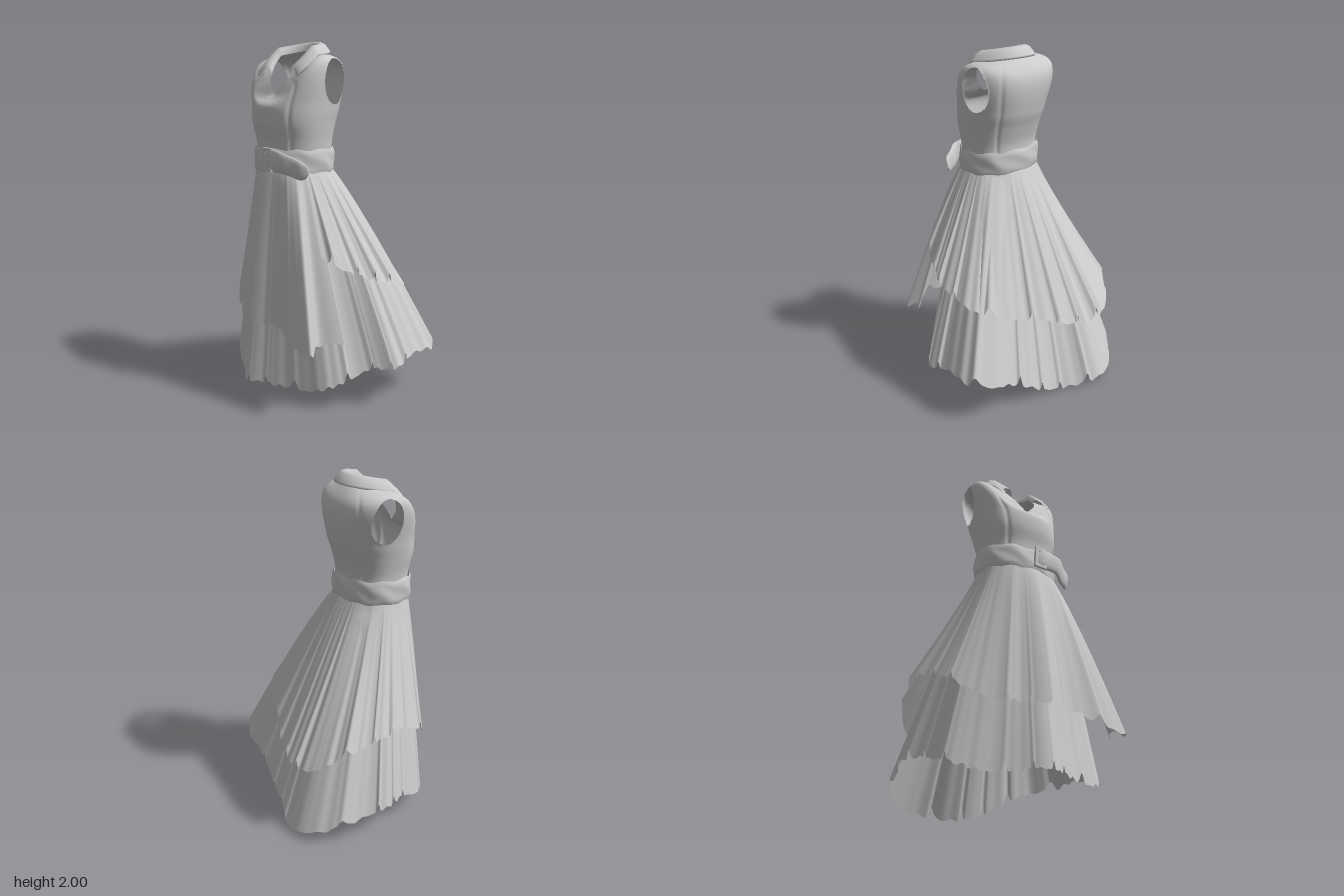
import * as THREE from 'three';

const { sin, cos, abs, max, min, pow, sign, PI } = Math;
const RAD = PI / 180;
const material = new THREE.MeshStandardMaterial({ color: 0xcccccc, side: THREE.DoubleSide });

// Grid surface from point(u, v); keep() may drop triangles to leave openings.
function surface(name, cols, rows, closed, point, keep = () => true) {
  const pos = [], index = [], pts = [];
  const n = closed ? cols : cols + 1;
  for (let j = 0; j <= rows; j++) for (let i = 0; i < n; i++) {
    const p = point(i / cols, j / rows);
    pts.push(p);
    pos.push(p.x, p.y, p.z);
  }
  const tri = (a, b, c) => { if (keep(pts[a], pts[b], pts[c])) index.push(a, b, c); };
  for (let j = 0; j < rows; j++) for (let i = 0; i < cols; i++) {
    const k = (i + 1) % n, a = j * n + i, b = j * n + k, c = a + n, d = b + n;
    tri(a, b, d);
    tri(a, d, c);
  }
  const geo = new THREE.BufferGeometry();
  geo.setAttribute('position', new THREE.Float32BufferAttribute(pos, 3));
  geo.setIndex(index);
  geo.computeVertexNormals();
  const mesh = new THREE.Mesh(geo, material);
  mesh.name = name;
  return mesh;
}

// Rounded ring between x and z limits; angle 0 is front, 90 degrees is +x.
const soft = (s, p) => sign(s) * pow(abs(s), p);
function ring(a, y, x0, x1, z0, z1, p = 0.88) {
  return new THREE.Vector3(
    (x0 + x1) / 2 + (x1 - x0) / 2 * soft(sin(a), p), y,
    (z0 + z1) / 2 + (z1 - z0) / 2 * soft(cos(a), p));
}
const waist = a => ring(a, 1.31, -0.295, 0.14, -0.025, 0.355);

// Hem rows: [angle in degrees, x, y, z]
const OVER_HEM = [
  [62, 0.32, 0.83, 0.32], [72, 0.41, 0.78, 0.25], [85, 0.45, 0.72, 0.13], [97, 0.47, 0.68, 0.03],
  [110, 0.46, 0.66, -0.1], [125, 0.42, 0.6, -0.24], [145, 0.28, 0.55, -0.32],
  [165, 0.1, 0.5, -0.37], [180, -0.08, 0.44, -0.45], [195, -0.23, 0.41, -0.48],
  [210, -0.37, 0.44, -0.45], [225, -0.49, 0.51, -0.38], [240, -0.54, 0.57, -0.25],
  [260, -0.56, 0.63, -0.1], [280, -0.55, 0.62, 0.1], [295, -0.52, 0.56, 0.22],
  [310, -0.43, 0.48, 0.31], [325, -0.32, 0.44, 0.37], [345, -0.2, 0.43, 0.45],
  [360, -0.08, 0.43, 0.49], [380, 0.1, 0.43, 0.46], [398, 0.31, 0.37, 0.5],
  [408, 0.42, 0.35, 0.48], [417, 0.38, 0.38, 0.4], [425, 0.48, 0.39, 0.3]];
const UNDER_HEM = [
  [0, -0.09, 0.09, 0.5], [25, 0.11, 0.08, 0.43], [45, 0.3, 0.09, 0.35], [65, 0.42, 0.14, 0.25],
  [80, 0.5, 0.2, 0.12], [100, 0.6, 0.22, 0], [115, 0.57, 0.26, -0.15], [130, 0.57, 0.24, -0.34],
  [145, 0.45, 0.22, -0.41], [160, 0.28, 0.15, -0.4], [175, 0.1, 0.05, -0.42],
  [190, -0.07, 0.0, -0.46], [205, -0.24, 0.02, -0.52], [217, -0.4, 0.05, -0.5],
  [230, -0.53, 0.09, -0.39], [245, -0.57, 0.14, -0.22], [260, -0.6, 0.18, -0.08],
  [280, -0.57, 0.17, 0.08], [295, -0.54, 0.13, 0.22], [310, -0.44, 0.09, 0.3],
  [330, -0.3, 0.07, 0.37], [345, -0.2, 0.08, 0.46]];

// Skirt tier: waist ring lofted to a torn hem, with broad folds that grow downward.
function tier(name, hem, closed, { fold, flare, inset }) {
  const curve = new THREE.CatmullRomCurve3(hem.map(h => new THREE.Vector3(h[1], h[2], h[3])), closed);
  const n = hem.length, spans = closed ? n : n - 1;
  const angleAt = u => {
    const f = u * spans, i = min(Math.floor(f), spans - 1);
    const a0 = hem[i][0], a1 = i + 1 < n ? hem[i + 1][0] : hem[0][0] + 360;
    return (a0 + (a1 - a0) * (f - i)) * RAD;
  };
  return surface(name, 400, 22, closed, (u, v) => {
    const t = 1 - v, a = angleAt(u), end = curve.getPoint(u), top = waist(a);
    top.x = -0.078 + (top.x + 0.078) * inset;
    top.z = 0.165 + (top.z - 0.165) * inset;
    const tear = 0.01 * (1 + sin(47 * a + 1)) * abs(sin(5 * a)) +
      0.055 * pow(max(0, sin(19 * a + 3 * sin(4 * a) + 1)), 14);
    const f = pow(t, flare(a));
    const wave = 0.6 * sin(7 * a + 1 + sin(2 * a)) + 0.4 * sin(12 * a + 2 + sin(3 * a)) + 0.1 * sin(23 * a);
    const r = fold * wave * pow(t, 0.6);
    return new THREE.Vector3(
      top.x + (end.x - top.x) * f + r * sin(a),
      top.y + (end.y + tear - top.y) * t,
      top.z + (end.z - top.z) * f + r * cos(a));
  });
}

// Neck opening: slopes down from the back and ends in a V at the front.
function neck(a) {
  const w = abs(Math.atan2(sin(a), cos(a)));
  return new THREE.Vector3(-0.075 + 0.125 * sin(a),
    1.93 - 0.035 * cos(a) - 0.195 * max(0, 1 - w / (PI / 2)), 0.155 + 0.145 * cos(a));
}

// Bodice: rings from waist to shoulder to neck, with an oval armhole on each side.
const BODICE = [
  [1.29, -0.295, 0.14, -0.025, 0.355], [1.37, -0.295, 0.148, -0.025, 0.35], [1.45, -0.3, 0.155, -0.025, 0.355],
  [1.55, -0.318, 0.168, -0.05, 0.378], [1.64, -0.335, 0.178, -0.078, 0.374]];
function bodice() {
  const columns = new Map();
  const column = u => {
    if (!columns.has(u)) {
      const a = u * 2 * PI, c = cos(a);
      const shoulderY = 1.89 - 0.21 * max(0, c) ** 2 - 0.05 * max(0, -c) ** 2;
      columns.set(u, new THREE.CatmullRomCurve3([
        ...BODICE.map(r => ring(a, ...r)),
        ring(a, shoulderY, -0.357, 0.172, -0.09, 0.33, 0.78), neck(a)]));
    }
    return columns.get(u);
  };
  const point = (u, v) => {
    const p = column(u).getPoint(v), a = u * 2 * PI;
    // shallow princess seams
    for (const s of [0.65, -0.65, 2.5, -2.5]) {
      const d = Math.atan2(sin(a - s), cos(a - s));
      const g = 0.006 * Math.exp(-d * d * 300) * min(1, 4 * (1 - v));
      p.x -= g * sin(a);
      p.z -= g * cos(a);
    }
    // vertices inside the armhole move out to its rim
    const dz = (p.z - 0.076) / 0.09, dy = (p.y - 1.775) / 0.125, d = Math.hypot(dz, dy);
    if (d < 1 && abs(p.x + 0.088) > 0.14) {
      p.cut = true;
      p.z = 0.076 + 0.09 * dz / max(d, 0.01);
      p.y = 1.775 + 0.125 * dy / max(d, 0.01);
    }
    return p;
  };
  return surface('bodice', 180, 90, true, point, (a, b, c) => !(a.cut && b.cut && c.cut));
}

// Collar: stands at the neck, folds over, and widens to a point at the front.
function collar() {
  const section = [[-0.08, -0.01], [-0.04, 0.025], [0.2, 0.036], [0.55, 0.026], [1.0, -0.012], [0.98, -0.024], [0.5, 0.0]];
  const start = 42 * RAD, end = 318 * RAD;
  return surface('collar', 90, section.length - 1, false, (u, v) => {
    const a = start + (end - start) * u, p = neck(a);
    const [out, up] = section[Math.round(v * (section.length - 1))];
    const front = pow(abs(u - 0.5) * 2, 4);
    const w = (0.065 + 0.06 * front) * out;
    p.x += w * sin(a);
    p.z += w * cos(a) * (1 - 0.8 * front);
    p.y += up + 0.015 * front;
    return p;
  });
}

// Belt: a soft, slightly rumpled band.
function belt() {
  return surface('belt', 120, 10, true, (u, v) => {
    const a = u * 2 * PI;
    const p = ring(a, 0, -0.298, 0.15, -0.027, 0.358);
    const r = 0.004 + 0.01 * pow(sin(v * PI), 0.4) + 0.004 * sin(7 * a + 6 * v) * sin(v * PI);
    p.x += r * sin(a);
    p.z += r * cos(a);
    p.y = 1.275 + 0.14 * v - 0.012 * sin(a + 0.5) + 0.005 * sin(9 * a);
    return p;
  });
}

// Loose belt end, drooping toward +x.
function beltEnd() {
  const path = new THREE.CatmullRomCurve3([[-0.08, 1.36, 0.375], [0, 1.35, 0.39], [0.08, 1.335, 0.38],
    [0.15, 1.305, 0.345], [0.205, 1.28, 0.305]].map(p => new THREE.Vector3(...p)));
  return surface('beltEnd', 28, 16, false, (u, v) => {
    const p = path.getPoint(u), a = -v * 2 * PI;
    const close = pow(max(0, 1 - pow(abs(2 * u - 1), 8)), 0.5);
    p.y += 0.062 * (1 - 0.25 * u) * soft(sin(a), 0.8) * close;
    p.z += 0.016 * cos(a) * close + 0.005 * sin(16 * u) * close;
    p.x += 0.015 * sin(a) * close;
    return p;
  });
}

// Buckle: rectangular frame.
function buckle() {
  const box = (s, w, h) => s.moveTo(-w, -h).lineTo(w, -h).lineTo(w, h).lineTo(-w, h).closePath();
  const shape = box(new THREE.Shape(), 0.036, 0.06);
  shape.holes.push(box(new THREE.Path(), 0.022, 0.044));
  const geo = new THREE.ExtrudeGeometry(shape, {
    depth: 0.008, bevelEnabled: true, bevelSize: 0.005, bevelThickness: 0.004, bevelSegments: 2 });
  const mesh = new THREE.Mesh(geo, material);
  mesh.name = 'buckle';
  mesh.position.set(-0.04, 1.35, 0.385);
  mesh.rotation.set(0, -0.05, -0.06);
  return mesh;
}

export function createModel() {
  const dress = new THREE.Group();
  dress.name = 'dress';
  dress.add(
    bodice(), collar(), belt(), beltEnd(), buckle(),
    tier('overskirt', OVER_HEM, false,
      { fold: 0.016, flare: a => 0.82 - 0.12 * cos(a) + 0.3 * max(0, -sin(a)) + 0.15 * max(0, sin(a)), inset: 1 }),
    tier('underskirt', UNDER_HEM, true, { fold: 0.014, flare: () => 0.88, inset: 0.95 }));
  return dress;
}
